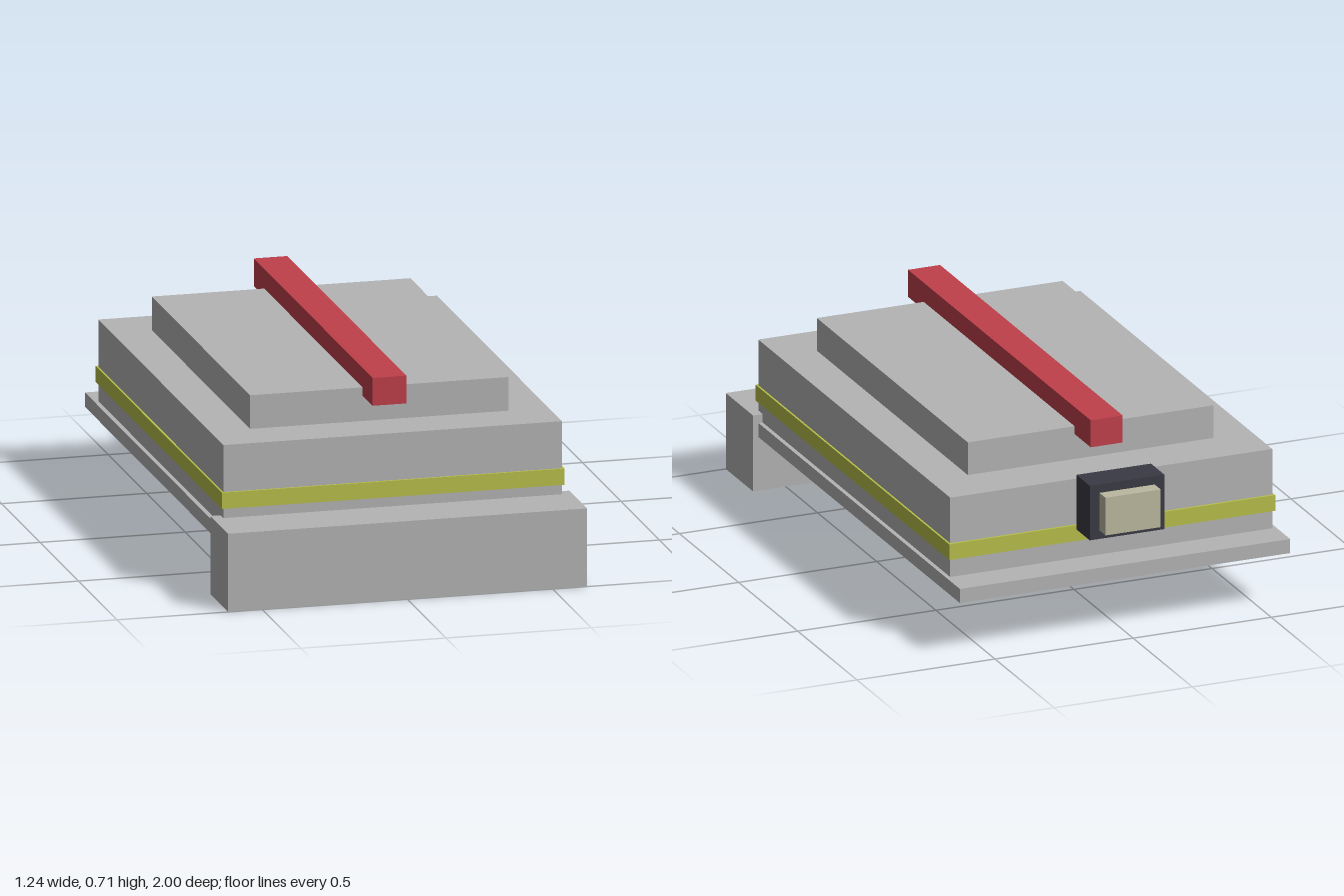
import * as THREE from 'three';

const paint = (name, color) => {
  const m = new THREE.MeshStandardMaterial({ color });
  m.name = name;
  return m;
};

export function createModel() {
  const grey = paint('light grey', 0xb4b4b4);
  const red = paint('red', 0xc0404a);
  const yellow = paint('yellow green', 0xb8c04a);
  const dark = paint('charcoal', 0x3a3a44);
  const tan = paint('pale tan', 0xbcb8a0);

  const group = new THREE.Group();
  group.name = 'steppedBody';

  // Box centred on x, given by its half width and its y and z limits
  const slab = (name, material, halfX, y0, y1, z0, z1) => {
    const mesh = new THREE.Mesh(new THREE.BoxGeometry(halfX * 2, y1 - y0, z1 - z0), material);
    mesh.name = name;
    mesh.position.set(0, (y0 + y1) / 2, (z0 + z1) / 2);
    group.add(mesh);
  };

  // Stepped housing
  slab('frontBumper', grey, 0.618, 0, 0.27, 0.77, 1);
  slab('basePlate', grey, 0.598, 0.19, 0.24, -0.932, 0.77);
  slab('body', grey, 0.583, 0.24, 0.522, -0.815, 0.807);
  slab('topStep', grey, 0.445, 0.522, 0.638, -0.642, 0.634);

  // Band around the body and ridge along the top
  slab('sideBand', yellow, 0.59, 0.304, 0.36, -0.824, 0.815);
  slab('topRidge', red, 0.058, 0.61, 0.706, -0.777, 0.767);

  // Rear unit with its pale cap
  slab('rearUnit', dark, 0.135, 0.35, 0.544, -0.949, -0.836);
  slab('rearCap', tan, 0.1, 0.38, 0.514, -1, -0.949);

  return group;
}
